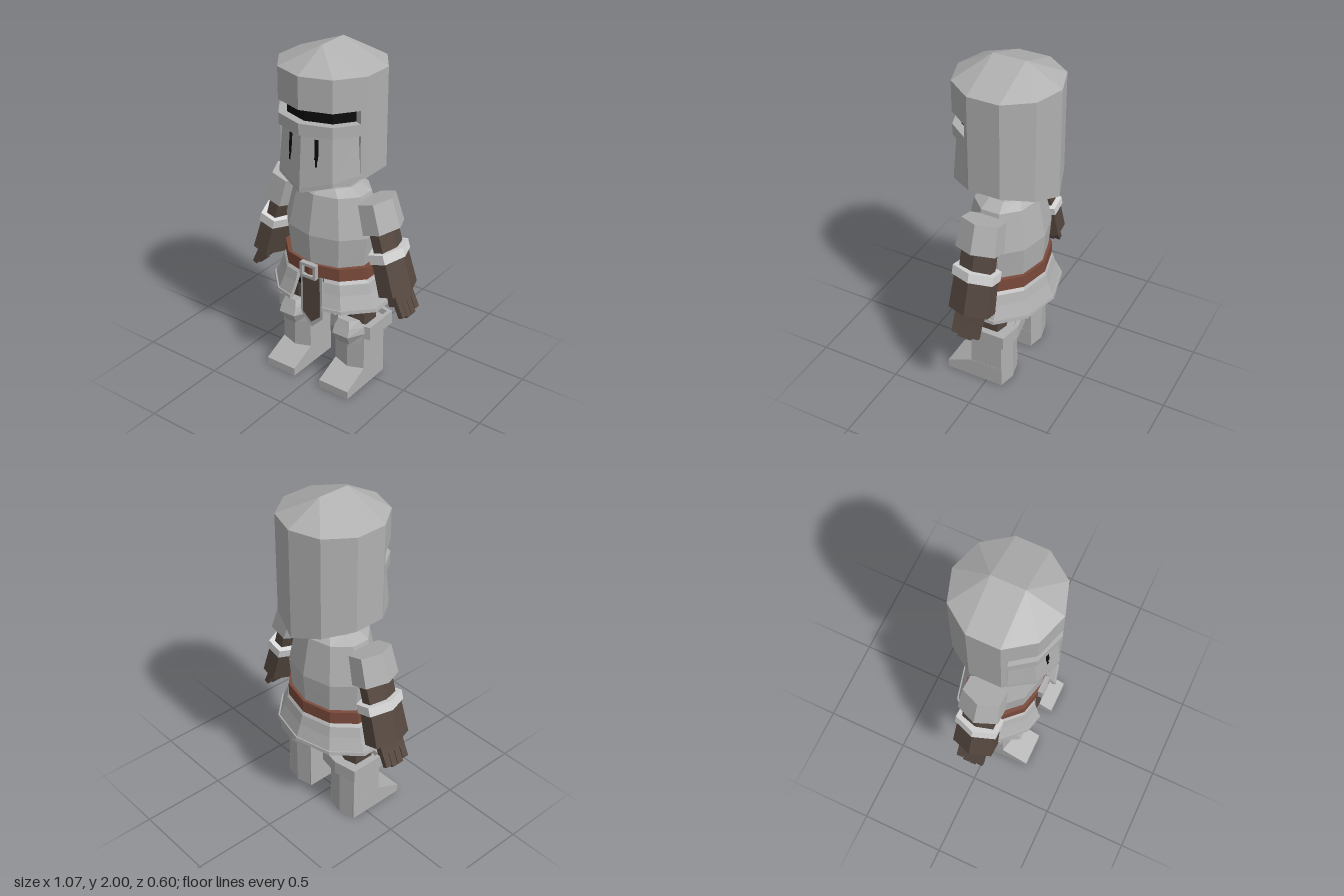
import * as THREE from 'three';

const V = (x, y, z) => new THREE.Vector3(x, y, z);
const DEG = Math.PI / 180;
const mat = (name, color, side = THREE.FrontSide) => {
  const m = new THREE.MeshStandardMaterial({ color, side });
  m.name = name;
  return m;
};

// Faceted mesh from triangles
function fromTriangles(tris) {
  const g = new THREE.BufferGeometry().setFromPoints(tris);
  g.computeVertexNormals();
  return g;
}
// Skin over rows of points, optionally closed round and capped
function loft(rows, { closed = true, caps = false } = {}) {
  const tris = [], n = rows[0].length;
  for (let i = 0; i + 1 < rows.length; i++) {
    for (let j = 0; j < (closed ? n : n - 1); j++) {
      const k = (j + 1) % n;
      const [a, b, c, d] = [rows[i][j], rows[i][k], rows[i + 1][k], rows[i + 1][j]];
      tris.push(a, b, c, a, c, d);
    }
  }
  if (caps) {
    const lo = rows[0], hi = rows[rows.length - 1];
    for (let j = 1; j + 1 < n; j++) tris.push(lo[0], lo[j + 1], lo[j], hi[0], hi[j], hi[j + 1]);
  }
  return fromTriangles(tris);
}
function flat(g) {
  const f = g.index ? g.toNonIndexed() : g;
  f.computeVertexNormals();
  return f;
}
function add(parent, name, geometry, material, x = 0, y = 0, z = 0) {
  const m = new THREE.Mesh(geometry, material);
  m.name = name;
  m.position.set(x, y, z);
  parent.add(m);
  return m;
}
const box = (w, h, d) => new THREE.BoxGeometry(w, h, d);
// Six-sided prism with corners on the x axis
const hexPrism = (top, bottom, h, depth) =>
  flat(new THREE.CylinderGeometry(top, bottom, h, 6, 1, false, Math.PI / 2).scale(1, 1, depth / (bottom * 0.866)));
// Six-sided leg section: flat sides, shallow points at front and back
const legRing = (y, w, side, point, dz = 0) =>
  [[0, point], [w, side], [w, -side], [0, -point], [-w, -side], [-w, side]].map(([x, z]) => V(x, y, z + dz));

const unit = (deg) => V(Math.sin(deg * DEG), 0, Math.cos(deg * DEG));
const decagon = [...Array(10).keys()].map((i) => unit(i * 36));
const ring = (pts, [y, rx, rz]) => pts.map((p) => V(p.x * rx, y, p.z * rz));
const body = (rows) => loft(rows.map((r) => ring(decagon, r)), { caps: true });

function outline(points) {
  return new THREE.Shape(points.map(([x, y]) => new THREE.Vector2(x, y)));
}
const plate = (points, depth) =>
  flat(new THREE.ExtrudeGeometry(outline(points), { depth, bevelEnabled: false }));

export function createModel() {
  const model = new THREE.Group();
  const steel = mat('steel', 0xb0b0b0, THREE.DoubleSide);
  const trim = mat('pale steel', 0xd8d8d8);
  const cloth = mat('dark brown cloth', 0x554840);
  const leather = mat('red brown leather', 0x7a4a3b);
  const black = mat('black', 0x0a0a0a, THREE.DoubleSide);

  // Helmet: ten sides, roof ridge, V-shaped underside
  const helmet = new THREE.Group();
  helmet.name = 'helmet';
  model.add(helmet);
  const at = (deg) => unit(deg).multiplyScalar(0.3);
  const endL = V(0.265, 0, 0.121), endR = V(-0.265, 0, 0.121);
  const frontPts = [endR, at(-36), at(0), at(36), endL];
  const backPts = [endL, ...[72, 108, 144, 180, 216, 252, 288].map(at), endR];
  const lip = (p) => 1.24 + 0.315 * Math.abs(p.x);
  const keel = (p) => V(0, 1.24, p.z);
  const ridge = (p) => V(0, 2, THREE.MathUtils.clamp(p.z, -0.093, 0.093));
  const level = (y, s = 1) => (p) => V(p.x * s, y, p.z * s);
  const rowsOf = (pts, fns) => fns.map((f) => pts.map(f));
  const open = { closed: false };
  add(helmet, 'helmetBack', loft(rowsOf(backPts, [keel, (p) => V(p.x, lip(p), p.z), level(1.89), ridge]), open), steel);
  const lower = [keel, (p) => V(p.x, lip(p), p.z), (p) => V(p.x, lip(p) + 0.025, p.z),
    level(1.57, 0.93), level(1.57), level(1.635), level(1.635, 0.84)];
  const upper = [level(1.71, 0.84), level(1.71), level(1.89), ridge];
  add(helmet, 'helmetFacePlate', loft(rowsOf(frontPts, lower), open), steel);
  add(helmet, 'helmetBrow', loft(rowsOf(frontPts, upper), open), steel);
  add(helmet, 'visorSlot', loft(rowsOf(frontPts, [level(1.635, 0.84), level(1.71, 0.84)]), open), black);
  // End walls of the slot and of the recessed face panel
  for (const p of [endL, endR]) {
    const [a, b, c] = lower.slice(2, 5).map((f) => f(p));
    const [d, e] = lower.slice(5, 7).map((f) => f(p));
    const [f, g] = upper.slice(0, 2).map((fn) => fn(p));
    add(helmet, 'recessEnd', fromTriangles([a, b, c, d, e, f, d, f, g]), steel);
  }
  // Breathing slits
  for (const s of [-1, 1]) {
    const slit = new THREE.Group();
    slit.name = 'breathingSlit';
    slit.rotation.y = s * 18 * DEG;
    helmet.add(slit);
    add(slit, 'slitTop', box(0.02, 0.11, 0.008), black, 0, 1.495, 0.271).rotation.x = -0.07;
    add(slit, 'slitTail', box(0.01, 0.04, 0.008), black, 0, 1.42, 0.276).rotation.x = -0.07;
  }

  // Neck, breastplate, belt
  add(model, 'neck', body([[1.18, 0.15, 0.11], [1.35, 0.15, 0.11]]), steel);
  add(model, 'breastplate', body([[0.7, 0.262, 0.2], [0.78, 0.27, 0.21], [0.95, 0.29, 0.222],
    [1.18, 0.232, 0.178], [1.215, 0.16, 0.138]]), steel);
  add(model, 'belt', body([[0.7, 0.3, 0.226], [0.775, 0.3, 0.226]]), leather);
  add(model, 'pelvis', box(0.36, 0.16, 0.24), black, 0, 0.63, 0);

  // Flared plate skirt, open at the front
  const gap = V(0.294, 0, 0.905);
  const skirtPts = [gap, ...decagon.slice(1), V(-gap.x, 0, gap.z)];
  const skirtRows = [[0.7, 0.265, 0.2], [0.62, 0.315, 0.235], [0.525, 0.355, 0.265], [0.525, 0.38, 0.287],
    [0.545, 0.376, 0.284], [0.545, 0.366, 0.276], [0.62, 0.332, 0.25], [0.68, 0.312, 0.234], [0.7, 0.285, 0.215],
  ].map((r) => ring(skirtPts, r));
  add(model, 'skirt', loft(skirtRows, open), steel);
  for (const i of [0, skirtPts.length - 1]) {
    const edge = skirtRows.map((r) => r[i]);
    const tris = [];
    for (let j = 1; j + 1 < edge.length; j++) tris.push(edge[0], edge[j], edge[j + 1]);
    add(model, 'skirtEdge', fromTriangles(tris), steel);
  }

  // Hanging front flap and buckle
  add(model, 'flapBorder', plate([[-0.075, 0.71], [-0.075, 0.425], [0, 0.35], [0.075, 0.425], [0.075, 0.71]], 0.014), steel, 0, 0, 0.19);
  add(model, 'flapCloth', plate([[-0.058, 0.7], [-0.058, 0.435], [0, 0.385], [0.058, 0.435], [0.058, 0.7]], 0.006), cloth, 0, 0, 0.202);
  const frame = outline([[-0.053, 0.688], [0.053, 0.688], [0.053, 0.778], [-0.053, 0.778]]);
  frame.holes.push(outline([[-0.036, 0.705], [-0.036, 0.761], [0.036, 0.761], [0.036, 0.705]]));
  add(model, 'buckle', flat(new THREE.ExtrudeGeometry(frame, { depth: 0.03, bevelEnabled: false })), steel, 0, 0, 0.21);

  for (const s of [-1, 1]) {
    // Leg
    const leg = new THREE.Group();
    leg.name = s > 0 ? 'leftLeg' : 'rightLeg';
    leg.position.x = s * 0.19;
    model.add(leg);
    const foot = new THREE.ExtrudeGeometry(
      outline([[-0.1, 0], [0.258, 0], [0.258, 0.048], [0.1, 0.12], [-0.1, 0.12]]), { depth: 0.2, bevelEnabled: false });
    foot.rotateY(-Math.PI / 2).translate(0.1, 0, 0);
    add(leg, 'foot', flat(foot), steel);
    add(leg, 'shin', loft([legRing(0, 0.099, 0.098, 0.122), legRing(0.38, 0.099, 0.098, 0.122)], { caps: true }), steel);
    add(leg, 'thigh', loft([legRing(0.37, 0.072, 0.06, 0.08), legRing(0.68, 0.072, 0.06, 0.08)], { caps: true }), cloth);
    add(leg, 'kneeBand', loft([
      legRing(0.325, 0.098, 0.09, 0.11, -0.018), legRing(0.325, 0.135, 0.112, 0.138, -0.018),
      legRing(0.407, 0.135, 0.112, 0.138, -0.018), legRing(0.407, 0.112, 0.092, 0.115, -0.018),
      legRing(0.37, 0.098, 0.085, 0.105, -0.018)]), steel);
    const capRow = (y, w, z, z0) => [V(-w * 0.5, y, z), V(w * 0.5, y, z), V(w, y, z0), V(-w, y, z0)];
    add(leg, 'kneeCap', loft([capRow(0.29, 0.075, 0.155, 0.11), capRow(0.36, 0.105, 0.195, 0.1),
      capRow(0.405, 0.1, 0.175, 0.1), capRow(0.445, 0.075, 0.158, 0.11)], { caps: true }), steel);

    // Arm, hanging outward from the shoulder
    const arm = new THREE.Group();
    arm.name = s > 0 ? 'leftArm' : 'rightArm';
    arm.position.set(s * 0.29, 1.18, 0);
    arm.rotation.z = s * 0.285;
    model.add(arm);
    add(arm, 'shoulderPad', hexPrism(0.1, 0.11, 0.17, 0.12), steel, 0, -0.09, 0);
    add(arm, 'upperArm', hexPrism(0.06, 0.06, 0.25, 0.095), cloth, 0, -0.2, 0);
    add(arm, 'cuff', hexPrism(0.098, 0.098, 0.055, 0.124), trim, 0, -0.315, 0);
    add(arm, 'forearm', hexPrism(0.088, 0.094, 0.2, 0.12), cloth, 0, -0.44, 0);
    // Hand with four fingers and a thumb
    add(arm, 'palm', box(0.04, 0.09, 0.165), cloth, s * 0.016, -0.565, 0).rotation.z = s * 0.1;
    for (let i = 0; i < 4; i++) {
      const length = i === 0 || i === 3 ? 0.08 : 0.095;
      add(arm, 'finger', box(0.03, length, 0.038), cloth, s * 0.032, -0.6 - length / 2, (i - 1.5) * 0.042).rotation.z = s * 0.15;
    }
    add(arm, 'thumb', box(0.028, 0.08, 0.034), cloth, s * -0.012, -0.575, 0.06).rotation.z = s * -0.05;
  }
  return model;
}
